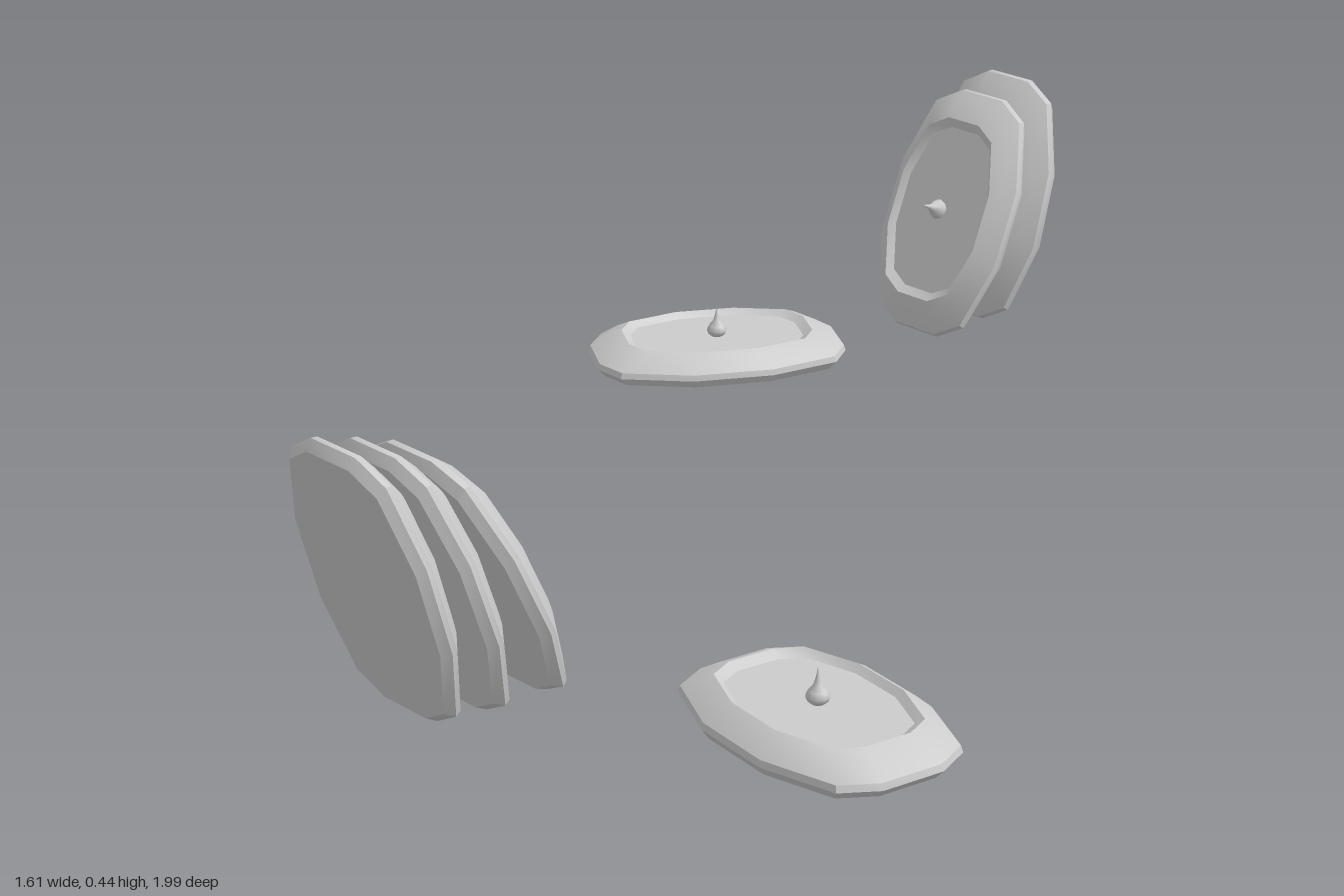
import * as THREE from 'three';
import { toCreasedNormals } from 'three/addons/utils/BufferGeometryUtils.js';

const rad = THREE.MathUtils.degToRad;

// Twelve-sided elongated outline, from the +z end round towards +x (mirrored from one quarter)
const outline = [
  [0.05, 0.22], [0.105, 0.19], [0.145, 0.07],
  [0.145, -0.07], [0.105, -0.19], [0.05, -0.22],
  [-0.05, -0.22], [-0.105, -0.19], [-0.145, -0.07],
  [-0.145, 0.07], [-0.105, 0.19], [-0.05, 0.22],
];

// Shield body: [fraction of outline, height], from the flat back over the rim to the sunken panel
const section = [
  [0, 0], [0.94, 0], [1, 0.014], [0.985, 0.024],
  [0.84, 0.043], [0.74, 0.052], [0.67, 0.042], [0, 0.042],
];

function bodyGeometry() {
  const points = section.map(([r, y]) => new THREE.Vector2(r, y));
  const geometry = new THREE.LatheGeometry(points, outline.length);
  const pos = geometry.attributes.position;
  // Stretch each round ring onto the outline
  for (let k = 0; k < pos.count; k++) {
    const [x, z] = outline[Math.floor(k / section.length) % outline.length];
    const [r, y] = section[k % section.length];
    pos.setXYZ(k, x * r, y, z * r);
  }
  return toCreasedNormals(geometry, rad(32));
}

// Pointed boss in the middle of the panel
function bossGeometry() {
  const profile = [
    [0.008, 0.04], [0.015, 0.046], [0.018, 0.053], [0.014, 0.061],
    [0.007, 0.069], [0.003, 0.081], [0, 0.096],
  ];
  return new THREE.LatheGeometry(profile.map(([r, y]) => new THREE.Vector2(r, y)), 10);
}

export function createModel() {
  const model = new THREE.Group();
  const material = new THREE.MeshStandardMaterial({ color: 0xcccccc });
  const body = bodyGeometry();
  const boss = bossGeometry();

  // pitch tips the shield upright, yaw turns it on the ground
  function addShield(name, position, pitch, yaw) {
    const shield = new THREE.Group();
    shield.name = name;
    const bodyMesh = new THREE.Mesh(body, material);
    bodyMesh.name = 'shieldBody';
    const bossMesh = new THREE.Mesh(boss, material);
    bossMesh.name = 'shieldBoss';
    shield.add(bodyMesh, bossMesh);
    shield.position.set(...position);
    shield.rotation.set(rad(pitch), rad(yaw), 0, 'YXZ');
    model.add(shield);
  }

  // Leaning stacks: [height, distance from centre, lean from vertical]
  const frontStack = [[0.229, 0.942, 15.4], [0.214, 0.866, 18.5], [0.2, 0.782, 25]];
  const backStack = [[0.229, 0.942, 15.4], [0.212, 0.85, 22.5]];
  frontStack.forEach(([y, z, lean], i) =>
    addShield(`frontLeaningShield${i + 1}`, [0.135, y, z], lean - 90, 0));
  backStack.forEach(([y, z, lean], i) =>
    addShield(`backLeaningShield${i + 1}`, [-0.51, y, -z], lean - 90, 180));

  // Shields lying flat
  addShield('leftFlatShield', [0.577, 0.028, 0.515], 0, 82);
  addShield('rightFlatShield', [-0.62, 0.028, -0.368], 0, -30);

  return model;
}
